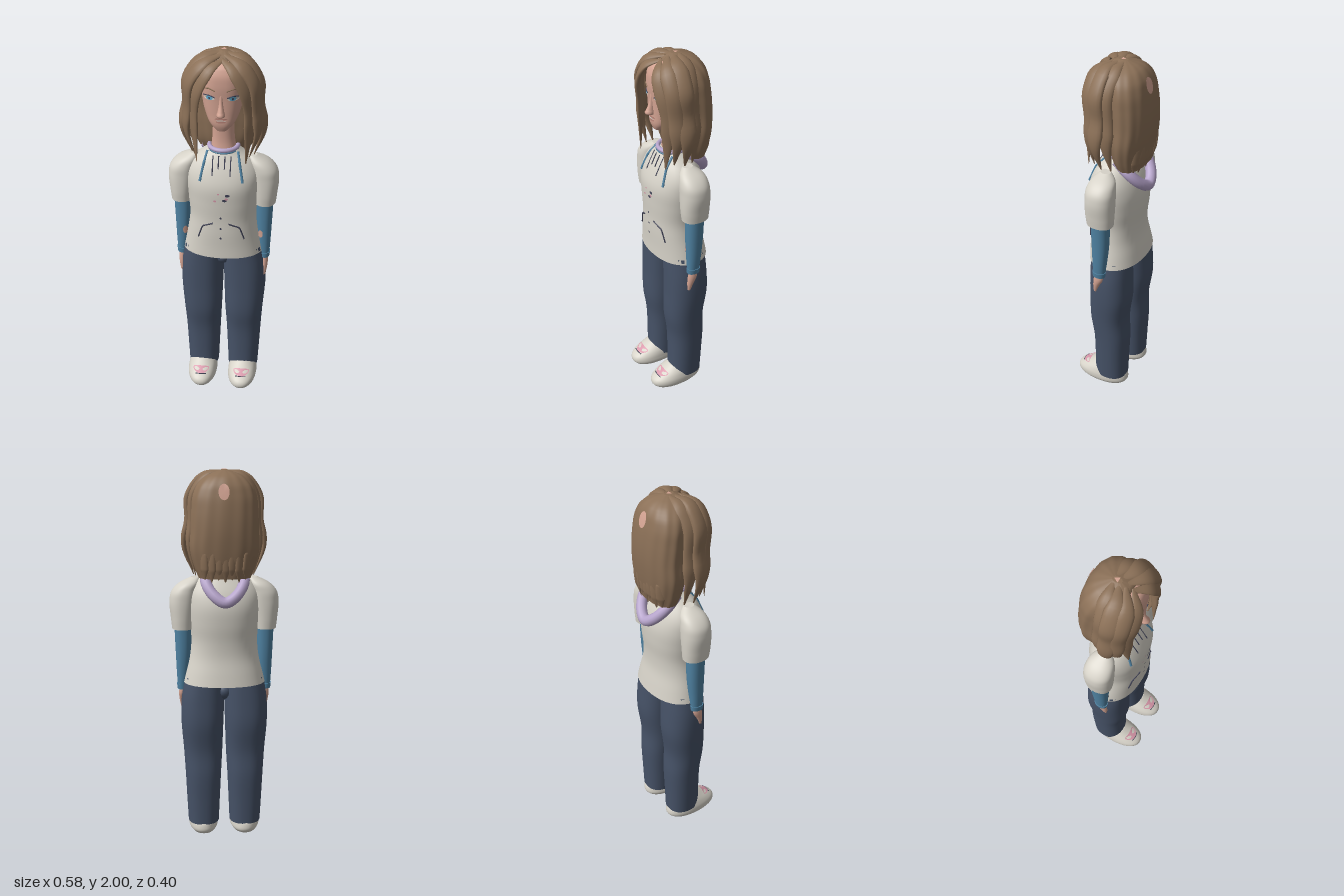
import * as THREE from 'three';

const mat = (name, color) => Object.assign(new THREE.MeshStandardMaterial({ color }), { name });
const V = (x, y, z) => new THREE.Vector3(x, y, z);

// Skin closed rings of points; flat end caps get their own vertices
function skin(rings) {
  const n = rings[0].length, pos = [], idx = [];
  rings.forEach(r => r.forEach(p => pos.push(p.x, p.y, p.z)));
  for (let i = 0; i < rings.length - 1; i++) for (let j = 0; j < n; j++) {
    const a = i * n + j, b = i * n + (j + 1) % n;
    idx.push(a, a + n, b, b, a + n, b + n);
  }
  [rings[0], rings[rings.length - 1]].forEach((r, top) => {
    const start = pos.length / 3, c = V(0, 0, 0);
    r.forEach(p => { pos.push(p.x, p.y, p.z); c.addScaledVector(p, 1 / n); });
    pos.push(c.x, c.y, c.z);
    for (let j = 0; j < n; j++) {
      const a = start + j, b = start + (j + 1) % n;
      idx.push(start + n, top ? b : a, top ? a : b);
    }
  });
  const g = new THREE.BufferGeometry();
  g.setAttribute('position', new THREE.Float32BufferAttribute(pos, 3));
  g.setIndex(idx);
  g.computeVertexNormals();
  return g;
}

// Sections are [y, xMin, xMax, zBack, zFront], read smoothly at any height
function section(rows, y) {
  const f = new THREE.CubicInterpolant(rows.map(r => r[0]), rows.flatMap(r => r.slice(1)), 4, new Float32Array(4));
  const [x0, x1, z0, z1] = f.evaluate(y);
  return { cx: (x0 + x1) / 2, cz: (z0 + z1) / 2, rx: Math.max((x1 - x0) / 2, 0.002), rz: Math.max((z1 - z0) / 2, 0.002) };
}
const pw = (v, e) => Math.sign(v) * Math.abs(v) ** (2 / e);

function loft(rows, e = 2.2, ripple = 0, n = 40, steps = 32) {
  const lo = rows[0][0], hi = rows[rows.length - 1][0], rings = [];
  for (let i = 0; i <= steps; i++) {
    const y = lo + (hi - lo) * i / steps, s = section(rows, y);
    rings.push(Array.from({ length: n }, (_, j) => {
      const a = j / n * Math.PI * 2, k = 1 + ripple * Math.sin(a * 13 + y * 5);
      return V(s.cx + s.rx * k * pw(Math.cos(a), e), y, s.cz + s.rz * k * pw(Math.sin(a), e));
    }));
  }
  return skin(rings);
}

// Depth of a loft's front (dir 1) or back (dir -1) at x, y
function depth(rows, x, y, e, dir = 1) {
  const s = section(rows, y), u = Math.min(Math.abs((x - s.cx) / s.rx), 1);
  return s.cz + dir * s.rz * (1 - u ** e) ** (1 / e);
}

// Thin oval laid on a loft
function oval(rows, x, y, rx, ry, e = 2.2, lift = 0.003, dir = 1) {
  const g = new THREE.CircleGeometry(1, 20).scale(rx, ry, 1);
  if (dir < 0) g.rotateY(Math.PI);
  g.translate(x, y, 0);
  const p = g.attributes.position;
  for (let i = 0; i < p.count; i++) p.setZ(i, depth(rows, p.getX(i), p.getY(i), e, dir) + dir * lift);
  g.computeVertexNormals();
  return g;
}

// Thin line laid on the front of a loft
function line(rows, pts, r = 0.003, e = 2.2) {
  const c = new THREE.CatmullRomCurve3(pts.map(([x, y]) => V(x, y, depth(rows, x, y, e) + 0.002)), false, 'catmullrom', 0.1);
  return new THREE.TubeGeometry(c, 14, r, 6);
}

// Flattened, tapering lock of hair that hugs the head
function lock(pts, width, thick) {
  const c = new THREE.CatmullRomCurve3(pts.map(p => V(...p))), rings = [];
  for (let i = 0; i <= 28; i++) {
    const t = i / 28, p = c.getPoint(t), T = c.getTangent(t);
    const O = V(p.x, (p.y - 1.75) * 0.6, p.z + 0.02);
    O.addScaledVector(T, -O.dot(T)).normalize();
    const S = T.clone().cross(O), k = Math.min(1, 0.25 + t * 3) * Math.min(1, 0.08 + (1 - t) * 3.2);
    rings.push(Array.from({ length: 14 }, (_, j) => {
      const a = j / 14 * Math.PI * 2;
      return p.clone().addScaledVector(S, Math.cos(a) * width * k).addScaledVector(O, Math.sin(a) * thick * k);
    }));
  }
  return skin(rings);
}

const flip = (rows, s) => s > 0 ? rows : rows.map(([y, a, b, c, d]) => [y, -b, -a, c, d]);
const sym = rows => rows.map(([y, w, c, d]) => [y, -w, w, c, d]);

const TORSO = sym([[0.87, 0.22, -0.16, 0.135], [0.93, 0.207, -0.15, 0.135], [1.02, 0.187, -0.135, 0.138], [1.1, 0.178, -0.135, 0.138],
  [1.2, 0.188, -0.145, 0.143], [1.3, 0.196, -0.145, 0.143], [1.37, 0.188, -0.125, 0.122], [1.43, 0.145, -0.095, 0.095], [1.46, 0.1, -0.08, 0.08], [1.485, 0.078, -0.07, 0.065]]);
const HEAD = sym([[1.61, 0.026, 0.05, 0.103], [1.64, 0.058, 0, 0.114], [1.7, 0.088, -0.06, 0.116], [1.78, 0.106, -0.1, 0.118],
  [1.86, 0.11, -0.11, 0.122], [1.92, 0.095, -0.085, 0.112], [1.96, 0.058, -0.05, 0.08], [1.976, 0.015, -0.01, 0.03]]);
const HAIR = sym([[1.45, 0.135, -0.155, -0.02], [1.5, 0.155, -0.165, 0], [1.6, 0.178, -0.18, 0.01], [1.7, 0.174, -0.187, 0.015], [1.8, 0.17, -0.182, 0.03],
  [1.88, 0.16, -0.168, 0.04], [1.94, 0.128, -0.145, 0.055], [1.98, 0.073, -0.1, 0.05], [1.997, 0.015, -0.045, 0.005]]);
const LEG = [[0.06, 0.03, 0.2, -0.105, 0.082], [0.2, 0.024, 0.207, -0.11, 0.08], [0.35, 0.017, 0.214, -0.115, 0.083], [0.48, 0.01, 0.222, -0.11, 0.1],
  [0.65, 0.004, 0.234, -0.13, 0.1], [0.78, 0, 0.231, -0.126, 0.099], [0.9, 0, 0.212, -0.118, 0.098]];
const SHOE = [[0.003, 0.045, 0.185, -0.095, 0.185], [0.02, 0.035, 0.196, -0.11, 0.199], [0.05, 0.035, 0.199, -0.11, 0.196], [0.075, 0.039, 0.194, -0.1, 0.165],
  [0.1, 0.048, 0.185, -0.09, 0.12], [0.122, 0.065, 0.17, -0.07, 0.085]];
const SLEEVE = [[1.165, 0.165, 0.278, -0.078, 0.066], [1.22, 0.16, 0.284, -0.082, 0.072], [1.32, 0.145, 0.29, -0.084, 0.073], [1.37, 0.14, 0.276, -0.08, 0.07],
  [1.41, 0.13, 0.235, -0.066, 0.055], [1.44, 0.125, 0.175, -0.03, 0.025]];
const ARM = [[0.83, 0.2, 0.25, -0.03, 0.035], [0.9, 0.19, 0.255, -0.038, 0.038], [1.02, 0.178, 0.26, -0.05, 0.042], [1.2, 0.17, 0.267, -0.056, 0.045]];
const HAND = [[0.715, 0.217, 0.235, 0.018, 0.036], [0.76, 0.21, 0.243, 0, 0.038], [0.8, 0.208, 0.246, -0.02, 0.034], [0.845, 0.212, 0.24, -0.02, 0.024]];

export function createModel() {
  const model = new THREE.Group();
  const skinTone = mat('skin', 0xd3a392), hair = mat('hair brown', 0x8b7057), cloth = mat('off white', 0xd6d2c8),
    denim = mat('denim', 0x465267), blue = mat('sleeve blue', 0x4f82a2), lilac = mat('lilac', 0xb7a5cc),
    pink = mat('pink', 0xd898aa), dark = mat('dark trim', 0x404256), iris = mat('eye blue', 0x62a9cc), lip = mat('lip', 0xb98478);
  const add = (name, geo, material) => {
    const m = new THREE.Mesh(geo, material);
    m.name = name;
    model.add(m);
    return m;
  };

  // Body, neck and head
  add('shirt', loft(TORSO, 2.2), cloth);
  add('neck', loft(sym([[1.45, 0.07, -0.065, 0.055], [1.52, 0.06, -0.06, 0.045], [1.66, 0.055, -0.06, 0.05]])), skinTone);
  add('head', loft(HEAD, 2.5), skinTone);
  add('crotch', new THREE.SphereGeometry(0.057, 24, 16).scale(1, 1, 1.5).translate(0, 0.825, -0.01), denim);

  // Nose and mouth
  add('nose', loft(sym([[1.695, 0.008, 0.1, 0.13], [1.705, 0.022, 0.1, 0.153], [1.72, 0.018, 0.1, 0.147], [1.76, 0.011, 0.1, 0.129], [1.81, 0.009, 0.1, 0.12]]), 2, 0, 16, 14), skinTone);
  add('upperLip', oval(HEAD, 0, 1.682, 0.032, 0.006, 2.5), lip);
  add('teeth', oval(HEAD, 0, 1.675, 0.024, 0.003, 2.5, 0.004), cloth);
  add('lowerLip', oval(HEAD, 0, 1.667, 0.025, 0.006, 2.5), lip);

  // Hood collar, hood and shirt front trim
  add('collar', new THREE.TorusGeometry(0.074, 0.012, 10, 36).rotateX(Math.PI / 2).translate(0, 1.486, -0.003), lilac);
  add('collarTrim', new THREE.TorusGeometry(0.078, 0.005, 8, 36).rotateX(Math.PI / 2).translate(0, 1.474, 0), blue);
  const hoodPath = new THREE.CatmullRomCurve3([V(0.085, 1.475, -0.03), V(0.1, 1.43, -0.1), V(0.06, 1.365, -0.15), V(0, 1.33, -0.168),
    V(-0.06, 1.365, -0.15), V(-0.1, 1.43, -0.1), V(-0.085, 1.475, -0.03)]);
  add('hood', new THREE.TubeGeometry(hoodPath, 40, 0.029, 14), lilac);
  [1.125, 1.06, 1.0].forEach(y => add('button', oval(TORSO, 0, y, 0.006, 0.006), dark));
  [[0.035, 1.265, 0.012, 0.008, dark], [0.02, 1.235, 0.012, 0.007, dark], [-0.03, 1.23, 0.008, 0.006, pink], [0.03, 1.245, 0.009, 0.006, pink], [-0.012, 1.272, 0.006, 0.004, pink]]
    .forEach(([x, y, rx, ry, m]) => add('chestPrint', oval(TORSO, x, y, rx, ry), m));

  for (const s of [1, -1]) {
    const side = s > 0 ? 'left' : 'right';
    const leg = flip(LEG, s), shoe = flip(SHOE, s), arm = flip(ARM, s);

    // Legs and shoes
    add(side + 'TrouserLeg', loft(leg, 2.3), denim);
    add(side + 'Shoe', loft(shoe, 2.2), cloth);
    add(side + 'ShoePatch', oval(shoe, s * 0.117, 0.088, 0.046, 0.012), pink);
    add(side + 'ShoeStrap', line(shoe, [[s * 0.085, 0.073], [s * 0.115, 0.075], [s * 0.146, 0.073]], 0.0025), dark);
    add(side + 'SolePatch', new THREE.CircleGeometry(1, 24).rotateX(Math.PI / 2).scale(0.045, 1, 0.08).translate(s * 0.115, 0.0005, 0.07), pink);

    // Arms and hands
    add(side + 'PuffSleeve', loft(flip(SLEEVE, s), 2.2), cloth);
    add(side + 'Sleeve', loft(arm), blue);
    add(side + 'Cuff', loft(flip([[0.826, 0.197, 0.253, -0.033, 0.038], [0.855, 0.195, 0.256, -0.036, 0.04]], s), 2.2, 0, 32, 2), blue);
    add(side + 'ElbowPatch', oval(arm, s * 0.203, 0.98, 0.013, 0.024), skinTone);
    add(side + 'Hand', loft(flip(HAND, s), 2, 0, 20, 14), skinTone);

    // Drawstrings, neck pleats and pocket seams
    add(side + 'Drawstring', line(TORSO, [[s * 0.078, 1.47], [s * 0.092, 1.42], [s * 0.11, 1.33]], 0.007), blue);
    add(side + 'Pleat', line(TORSO, [[s * 0.046, 1.46], [s * 0.046, 1.365]]), dark);
    add(side + 'InnerPleat', line(TORSO, [[s * 0.016, 1.46], [s * 0.016, 1.4]]), dark);
    add(side + 'PocketSeam', line(TORSO, [[s * 0.04, 1.09], [s * 0.098, 1.062], [s * 0.122, 0.99]], 0.004), dark);

    // Eyes and brows
    add(side + 'EyeWhite', oval(HEAD, s * 0.06, 1.792, 0.029, 0.011, 2.5, 0.002), cloth);
    add(side + 'Iris', oval(HEAD, s * 0.058, 1.793, 0.017, 0.011, 2.5, 0.004), iris);
    add(side + 'Pupil', oval(HEAD, s * 0.058, 1.793, 0.005, 0.006, 2.5, 0.006), dark);
    add(side + 'EyeLashes', line(HEAD, [[s * 0.03, 1.797], [s * 0.06, 1.806], [s * 0.09, 1.8]], 0.003, 2.5), dark);
    add(side + 'Eyebrow', line(HEAD, [[s * 0.028, 1.832], [s * 0.062, 1.843], [s * 0.092, 1.832]], 0.003, 2.5), hair);

    // Locks framing the face: [path, half width, half thickness]
    [
      [[[-0.005, 1.975, 0.06], [0.06, 1.935, 0.115], [0.115, 1.84, 0.125], [0.14, 1.72, 0.105], [0.135, 1.58, 0.105], [0.125, 1.44, 0.112]], 0.036, 0.014],
      [[[0.01, 1.985, 0.03], [0.09, 1.955, 0.08], [0.16, 1.86, 0.09], [0.172, 1.73, 0.075], [0.18, 1.6, 0.075], [0.14, 1.46, 0.07]], 0.042, 0.02],
      [[[0.02, 1.988, 0], [0.1, 1.965, 0.03], [0.178, 1.86, 0.04], [0.18, 1.74, 0.035], [0.205, 1.6, 0.03], [0.16, 1.45, 0.02]], 0.05, 0.024],
      [[[0.02, 1.99, -0.03], [0.09, 1.965, -0.02], [0.158, 1.87, -0.005], [0.168, 1.73, -0.01], [0.18, 1.6, -0.02], [0.15, 1.45, -0.03]], 0.045, 0.024],
    ].forEach(([path, w, t], i) =>
      add(side + 'HairLock' + (i + 1), lock(path.map(([x, y, z]) => [s * x, y, z]), w, t), hair));
  }

  // Back hair, its uneven hem and the bare scalp spots
  add('backHair', loft(HAIR, 2.2, 0.012, 104, 40), hair);
  for (let i = 0; i < 7; i++) {
    const x = -0.105 + i * 0.035, z = depth(HAIR, x, 1.55, 2.2, -1) + 0.012;
    add('hairTip', lock([[x * 1.1, 1.62, z], [x * 1.05, 1.54, z], [x, 1.445 - (i % 2) * 0.012, z + 0.012]], 0.026, 0.012), hair);
  }
  add('crownSpot', oval(HAIR, 0.008, 1.895, 0.028, 0.04, 2.2, 0.004, -1), skinTone);
  add('partingSpot', new THREE.CircleGeometry(0.016, 3, Math.PI / 2).rotateX(-Math.PI / 2).translate(0, 1.999, -0.02), skinTone);
  return model;
}
